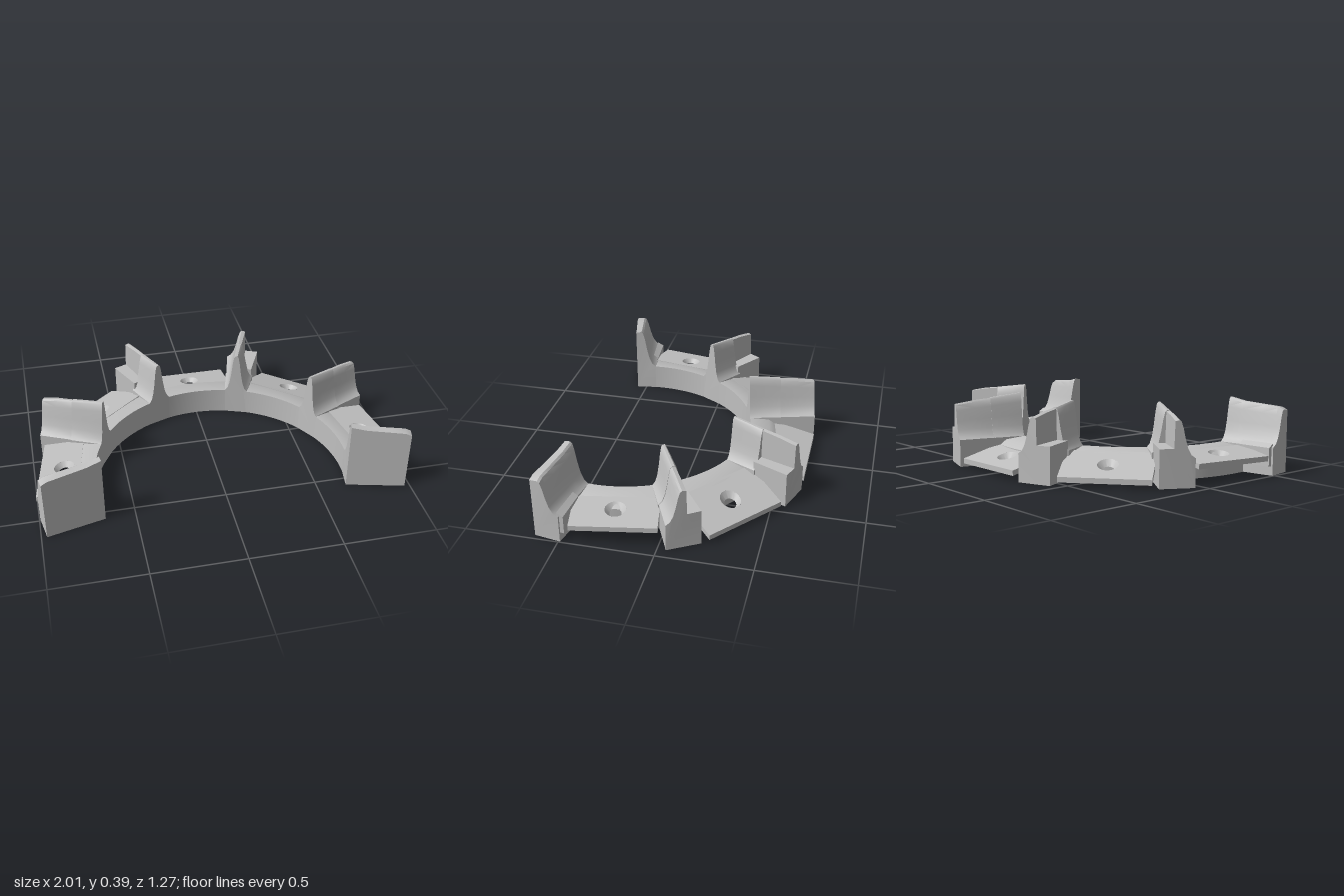
import * as THREE from 'three';
import { toCreasedNormals } from 'three/addons/utils/BufferGeometryUtils.js';

const CZ = 0.39; // centre of the arch in z
const RAD = Math.PI / 180;
const grey = new THREE.MeshStandardMaterial({ color: 0xc0c0c0, side: THREE.DoubleSide });
grey.name = 'plain grey';

// Point at a given angle (degrees from the back, towards +x), radius and height
const polar = (deg, r, y) => new THREE.Vector3(r * Math.sin(deg * RAD), y, CZ - r * Math.cos(deg * RAD));

// Solid through matching cross-sections; outline is the flat shape used for the caps
function loft(rings, startOutline, endOutline) {
  const tris = [];
  const n = rings[0].length;
  for (let i = 0; i < rings.length - 1; i++) {
    for (let j = 0; j < n; j++) {
      const k = (j + 1) % n;
      const [a, b, c, d] = [rings[i][j], rings[i][k], rings[i + 1][k], rings[i + 1][j]];
      tris.push([a, b, c], [a, c, d]);
    }
  }
  const cap = (ring, outline, flip) => {
    const pts = outline.map(([x, y]) => new THREE.Vector2(x, y));
    const turn = THREE.ShapeUtils.isClockWise(pts) !== flip;
    for (const [a, b, c] of THREE.ShapeUtils.triangulateShape(pts, [])) {
      const area = (pts[b].x - pts[a].x) * (pts[c].y - pts[a].y) - (pts[b].y - pts[a].y) * (pts[c].x - pts[a].x);
      const ccw = area > 0;
      // the cap runs against the side walls at the start and with them at the end
      tris.push(ccw !== turn ? [ring[a], ring[b], ring[c]] : [ring[a], ring[c], ring[b]]);
    }
  };
  cap(rings[0], startOutline, true);
  cap(rings[rings.length - 1], endOutline, false);
  // Turn everything outward
  let volume = 0;
  for (const [a, b, c] of tris) volume += a.dot(new THREE.Vector3().crossVectors(b, c));
  const pos = [];
  for (const [a, b, c] of tris) {
    for (const p of volume > 0 ? [a, b, c] : [a, c, b]) pos.push(p.x, p.y, p.z);
  }
  const g = new THREE.BufferGeometry();
  g.setAttribute('position', new THREE.Float32BufferAttribute(pos, 3));
  return toCreasedNormals(g, 35 * RAD);
}

function add(parent, name, geometry) {
  const mesh = new THREE.Mesh(geometry, grey);
  mesh.name = name;
  parent.add(mesh);
  return mesh;
}

// Radial solid: one (angle, height) section per radius
function radial(side, centre, steps) {
  const rings = steps.map(([r, sec]) => sec.map(([a, y]) => polar(side * (centre + a), r, y)));
  return loft(rings, steps[0][1], steps[steps.length - 1][1]);
}

// Concave flank of a post, from its foot up to the ridge
const FLANK = [[5.5, 0], [5.5, 0.15], [4.2, 0.17], [3.2, 0.21], [2.4, 0.27], [1.7, 0.34], [1.1, 0.38], [0.5, 0.39]];
const flank = (dir, k, squeeze = 1) =>
  FLANK.map(([a, y]) => [dir * a * squeeze, y > 0.15 ? 0.15 + (y - 0.15) * k : y]);

// Post between two plates; lowDir tells which flank is cut down to a step
function buildPost(side, centre, lowDir, rEnd) {
  const post = new THREE.Group();
  post.name = 'post';
  const full = (k) => [...flank(-lowDir, k), ...flank(lowDir, k).reverse()];
  const stepped = (k) => [
    ...flank(-lowDir, k, 0.95),
    [lowDir * 0.7, 0.15 + 0.235 * k], [lowDir * 0.9, 0.2], [lowDir * 5, 0.2], [lowDir * 5, 0],
  ];
  add(post, 'postInner', radial(side, centre, [[0.68, full(1)], [0.76, full(0.96)], [0.86, full(0.91)]]));
  add(post, 'postOuter', radial(side, centre, [[0.85, stepped(0.91)], [0.95, stepped(0.87)], [rEnd, stepped(0.8)]]));
  return post;
}

// End post: one concave flank, flat on the open end of the arch
function buildEndPost(side) {
  const post = new THREE.Group();
  post.name = 'endPost';
  const section = (k, s) => [
    ...FLANK.map(([a, y]) => [2 - a * 1.45 * s, y > 0.15 ? 0.15 + (y - 0.15) * k : y]),
    [4, 0.15 + 0.235 * k], [4, 0],
  ];
  add(post, 'endWall', radial(side, 100,
    [[0.68, section(1, 1)], [0.76, section(0.93, 0.95)], [0.88, section(0.89, 0.87)], [0.97, section(0.86, 0.8)], [1.0, section(0.8, 0.78)]]));
  const strip = [[-5.5, 0.05], [-5.5, 0.15], [-3.5, 0.17], [-3.5, 0.05]];
  add(post, 'endStrip', radial(side, 100, [[0.8, strip], [0.99, strip]]));
  return post;
}

// Sloping rectangular plate with a countersunk hole
function buildPlate(angle, halfWidth, r0, r1, y0, y1, holeR) {
  const plate = new THREE.Group();
  plate.name = 'plate';
  const thick = 0.028;
  const shape = new THREE.Shape();
  shape.moveTo(-halfWidth, r0).lineTo(halfWidth, r0).lineTo(halfWidth, r1).lineTo(-halfWidth, r1).closePath();
  shape.holes.push(new THREE.Path().absarc(0, holeR, 0.055, 0, Math.PI * 2, true));
  const slope = (g) => {
    const p = g.attributes.position;
    for (let i = 0; i < p.count; i++) {
      p.setY(i, p.getY(i) - thick + y0 + ((y1 - y0) * (-p.getZ(i) - r0)) / (r1 - r0));
    }
    g.computeVertexNormals();
    return toCreasedNormals(g, 35 * RAD);
  };
  const slab = new THREE.ExtrudeGeometry(shape, { depth: thick, bevelEnabled: false, curveSegments: 24 });
  add(plate, 'plateSlab', slope(slab.rotateX(-Math.PI / 2)));
  const sink = new THREE.CylinderGeometry(0.055, 0.031, thick, 32, 1, true);
  add(plate, 'countersink', slope(sink.translate(0, thick / 2, -holeR)));
  plate.position.z = CZ;
  plate.rotation.y = -angle * RAD;
  return plate;
}

export function createModel() {
  const model = new THREE.Group();
  model.name = 'archBracket';

  // Base arch, slightly sloped outward on top
  const section = [[0.68, 0], [0.68, 0.15], [0.79, 0.137], [0.825, 0.11], [0.825, 0]];
  const rings = [];
  for (let i = 0; i <= 80; i++) {
    const a = -103.9 + (207.8 * i) / 80;
    rings.push(section.map(([r, y]) => polar(a, r, y)));
  }
  add(model, 'baseArch', loft(rings, section, section));

  // Plates around the arch
  model.add(buildPlate(0, 0.228, 0.78, 1.03, 0.115, 0.055, 0.9));
  for (const side of [-1, 1]) {
    model.add(buildPlate(side * 40, 0.238, 0.77, 1.03, 0.142, 0.05, 0.9));
    model.add(buildPlate(side * 80, 0.224, 0.76, 0.98, 0.142, 0.113, 0.85));

    // Posts between the plates
    model.add(buildPost(side, 20, 1, 1.06));
    model.add(buildPost(side, 60, -1, 1.04));
    model.add(buildEndPost(side));
  }
  return model;
}
